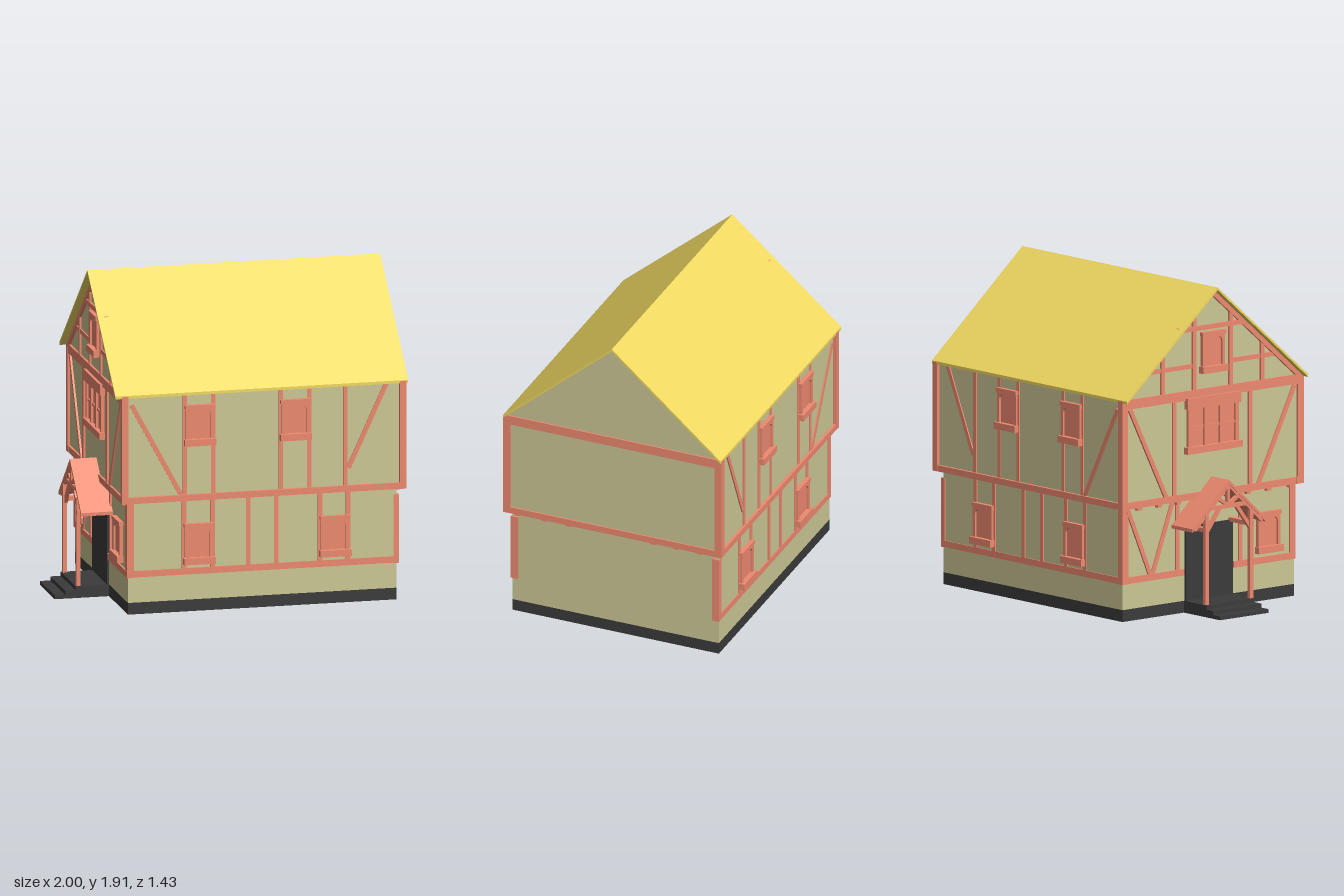
import * as THREE from 'three';

const paint = (color) => new THREE.MeshStandardMaterial({ color });

export function createModel() {
  const house = new THREE.Group();
  const wall = paint(0xcdc896), timber = paint(0xee8a70), thatch = paint(0xf2da62), dark = paint(0x3b3b3b);

  const add = (parent, name, geometry, material) => {
    const mesh = new THREE.Mesh(geometry, material);
    mesh.name = name;
    parent.add(mesh);
    return mesh;
  };
  // Box given by its limits on each axis
  const block = (parent, name, x0, x1, y0, y1, z0, z1, material) => {
    const mesh = add(parent, name, new THREE.BoxGeometry(x1 - x0, y1 - y0, z1 - z0), material);
    mesh.position.set((x0 + x1) / 2, (y0 + y1) / 2, (z0 + z1) / 2);
    return mesh;
  };
  // Outline of [z, y] points drawn out along x
  const prism = (parent, name, points, x0, x1, material) => {
    const shape = new THREE.Shape(points.map(([z, y]) => new THREE.Vector2(-z, y)));
    const geometry = new THREE.ExtrudeGeometry(shape, { depth: x1 - x0, bevelEnabled: false });
    geometry.rotateY(Math.PI / 2).translate(x0, 0, 0);
    return add(parent, name, geometry, material);
  };
  // Straight timber lying on a facade plane, from (u0, v0) to (u1, v1)
  const bar = (parent, name, u0, v0, u1, v1, width, plane, proud = 0.007) => {
    const mesh = add(parent, name,
      new THREE.BoxGeometry(Math.hypot(u1 - u0, v1 - v0), width, proud + 0.01), timber);
    mesh.position.set((u0 + u1) / 2, (v0 + v1) / 2, plane + (proud - 0.01) / 2);
    mesh.rotation.z = Math.atan2(v1 - v0, u1 - u0);
  };
  // Arched window with frame, pane, lintel and sill; v is its lowest edge
  const archWindow = (parent, u, v, plane) => {
    const win = new THREE.Group();
    win.name = 'window';
    win.position.set(u, v, plane);
    const frame = new THREE.Shape();
    frame.moveTo(-0.085, 0.03).lineTo(0.085, 0.03).lineTo(0.085, 0.225).lineTo(-0.085, 0.225).closePath();
    const hole = new THREE.Path();
    hole.moveTo(-0.064, 0.04).lineTo(-0.064, 0.18);
    hole.quadraticCurveTo(-0.06, 0.213, 0, 0.213).quadraticCurveTo(0.06, 0.213, 0.064, 0.18);
    hole.lineTo(0.064, 0.04).closePath();
    frame.holes.push(hole);
    add(win, 'windowFrame', new THREE.ExtrudeGeometry(frame, { depth: 0.022, bevelEnabled: false }), timber);
    block(win, 'windowPane', -0.07, 0.07, 0.035, 0.22, -0.005, 0.01, timber);
    block(win, 'windowLintel', -0.09, 0.09, 0.22, 0.243, 0, 0.027, timber);
    block(win, 'windowSill', -0.094, 0.094, 0, 0.04, 0, 0.04, timber);
    parent.add(win);
  };

  // Plinth, steps and walls
  block(house, 'plinth', -0.675, 0.935, 0, 0.07, -0.655, 0.655, dark);
  [[-1, 0.022], [-0.937, 0.046], [-0.875, 0.07]].forEach(([x, top]) =>
    block(house, 'step', x, -0.67, 0, top, -0.185, 0.185, dark));
  block(house, 'lowerWalls', -0.675, 0.935, 0.07, 0.68, -0.655, 0.655, wall);
  prism(house, 'upperWalls',
    [[0.675, 0.67], [0.675, 1.32], [0, 1.902], [-0.675, 1.32], [-0.675, 0.67]], -0.705, 0.975, wall);

  // Main roof, a thin folded sheet
  prism(house, 'roof',
    [[0.692, 1.303], [0.692, 1.32], [0, 1.915], [-0.692, 1.32], [-0.692, 1.303], [0, 1.899]],
    -0.76, 0.995, thatch);

  // Corner posts and girding beams
  for (const s of [-1, 1]) {
    const zSpan = (a, b) => (s > 0 ? [a, b] : [-b, -a]);
    for (const [x0, x1] of [[-0.72, -0.682], [0.945, 0.985]])
      block(house, 'upperPost', x0, x1, 0.67, 1.315, ...zSpan(0.65, 0.695), timber);
    for (const [x0, x1] of [[-0.683, -0.642], [0.915, 0.948]])
      block(house, 'lowerPost', x0, x1, 0.22, x0 < 0 ? 0.67 : 0.63, ...zSpan(0.617, 0.662), timber);
    block(house, 'floorBeam', -0.72, 0.985, 0.67, 0.707, ...zSpan(0.64, 0.693), timber);
  }
  for (const [x0, x1] of [[-0.718, -0.69], [0.95, 0.984]]) {
    block(house, 'gableFloorBeam', x0, x1, 0.67, 0.71, -0.69, 0.69, timber);
    block(house, 'gableTopBeam', x0, x1, 1.262, 1.318, -0.69, 0.69, timber);
  }
  for (const z of [0.615, 0.445, 0.29, -0.245, -0.39, -0.545]) {
    block(house, 'joistEnd', 0.93, 0.962, 0.65, 0.672, z - 0.016, z + 0.016, timber);
    block(house, 'joistEnd', -0.7, -0.67, 0.65, 0.672, z - 0.016, z + 0.016, timber);
  }

  // Long facades, the rear one mirroring the front
  for (const m of [1, -1]) {
    const side = new THREE.Group();
    side.name = m > 0 ? 'frontFacade' : 'backFacade';
    side.rotation.y = m > 0 ? 0 : Math.PI;
    for (const x of [-0.34, -0.17, 0.235, 0.405, 0.622])
      bar(side, 'upperStud', m * x, 0.7, m * x, 1.31, 0.026, 0.675);
    for (const x of [-0.34, -0.17, 0.045, 0.212, 0.475, 0.642])
      bar(side, 'lowerStud', m * x, 0.25, m * x, 0.67, 0.027, 0.655);
    bar(side, 'upperBrace', m * -0.66, 1.26, m * -0.36, 0.7, 0.027, 0.675);
    bar(side, 'upperBrace', m * 0.87, 1.31, m * 0.64, 0.81, 0.027, 0.675);
    bar(side, 'sillBeam', m * -0.675, 0.241, m * 0.94, 0.241, 0.038, 0.655);
    for (const x of [-0.253, 0.32]) archWindow(side, m * x, 1.0, 0.675);
    for (const x of [-0.253, 0.562]) archWindow(side, m * x, 0.285, 0.655);
    house.add(side);
  }

  // Entrance gable, local x running along the house's z
  const entrance = new THREE.Group();
  entrance.name = 'entranceFacade';
  entrance.rotation.y = -Math.PI / 2;
  const up = 0.705, low = 0.675;
  for (const s of [-1, 1]) {
    bar(entrance, 'rakeTimber', s * 0.67, 1.305, 0, 1.88, 0.03, up, 0.015);
    bar(entrance, 'gableStud', s * 0.14, 1.31, s * 0.14, 1.75, 0.026, up, 0.012);
    bar(entrance, 'gableStud', s * 0.38, 1.31, s * 0.38, 1.55, 0.026, up, 0.012);
    bar(entrance, 'gableRail', s * 0.14, 1.46, s * 0.47, 1.46, 0.026, up, 0.01);
    bar(entrance, 'upperBrace', s * 0.63, 1.26, s * 0.35, 0.7, 0.027, up, 0.012);
    bar(entrance, 'upperStud', s * 0.29, 0.7, s * 0.29, 1.27, 0.027, up, 0.012);
    bar(entrance, 'lowerStud', s * 0.24, 0.25, s * 0.24, 0.67, 0.027, low, 0.01);
    bar(entrance, 'sillBeam', s * 0.19, 0.241, s * 0.655, 0.241, 0.038, low, 0.01);
  }
  bar(entrance, 'collar', -0.26, 1.68, 0.26, 1.68, 0.028, up, 0.014);
  bar(entrance, 'lowerBrace', -0.62, 0.66, -0.45, 0.26, 0.027, low, 0.01);
  bar(entrance, 'lowerBrace', -0.28, 0.66, -0.43, 0.26, 0.027, low, 0.01);
  archWindow(entrance, 0, 1.41, up);
  archWindow(entrance, 0.45, 0.285, low);

  // Wide three-light window
  block(entrance, 'wideWindowPane', -0.19, 0.19, 0.97, 1.25, up - 0.01, up + 0.006, timber);
  block(entrance, 'wideWindowSill', -0.21, 0.21, 0.945, 0.985, up, up + 0.034, timber);
  block(entrance, 'wideWindowLintel', -0.205, 0.205, 1.21, 1.275, up, up + 0.03, timber);
  for (const u of [-0.18, -0.06, 0.06, 0.18])
    block(entrance, 'mullion', u - 0.012, u + 0.012, 0.98, 1.22, up, up + 0.02, timber);
  block(entrance, 'transom', -0.18, 0.18, 1.09, 1.105, up, up + 0.014, timber);

  // Door
  block(entrance, 'door', -0.18, 0.18, 0.07, 0.51, low - 0.01, low + 0.012, dark);
  house.add(entrance);

  // Porch: folded roof on two posts, with a strutted truss at its outer end
  const porch = new THREE.Group();
  porch.name = 'porch';
  prism(porch, 'porchRoof',
    [[0.28, 0.51], [0.28, 0.53], [0, 0.79], [-0.28, 0.53], [-0.28, 0.51], [0, 0.765]], -0.865, -0.67, timber);
  const truss = new THREE.Group();
  truss.name = 'porchTruss';
  truss.rotation.y = -Math.PI / 2;
  bar(truss, 'trussCollar', -0.13, 0.635, 0.13, 0.635, 0.022, 0.85, 0.01);
  bar(truss, 'kingPost', 0, 0.63, 0, 0.77, 0.022, 0.85, 0.01);
  for (const s of [-1, 1]) {
    bar(truss, 'rafter', s * 0.26, 0.52, 0, 0.765, 0.025, 0.85, 0.01);
    bar(truss, 'trussStrut', s * 0.17, 0.49, s * 0.06, 0.635, 0.022, 0.85, 0.01);
    bar(truss, 'trussStrut', 0, 0.64, s * 0.08, 0.69, 0.02, 0.85, 0.01);
    block(porch, 'porchPost', -0.868, -0.845, 0.07, 0.6, s * 0.17 - 0.013, s * 0.17 + 0.013, timber);
    block(porch, 'porchPlate', -0.868, -0.67, 0.5, 0.525, s * 0.17 - 0.016, s * 0.17 + 0.016, timber);
  }
  porch.add(truss);
  house.add(porch);

  return house;
}
